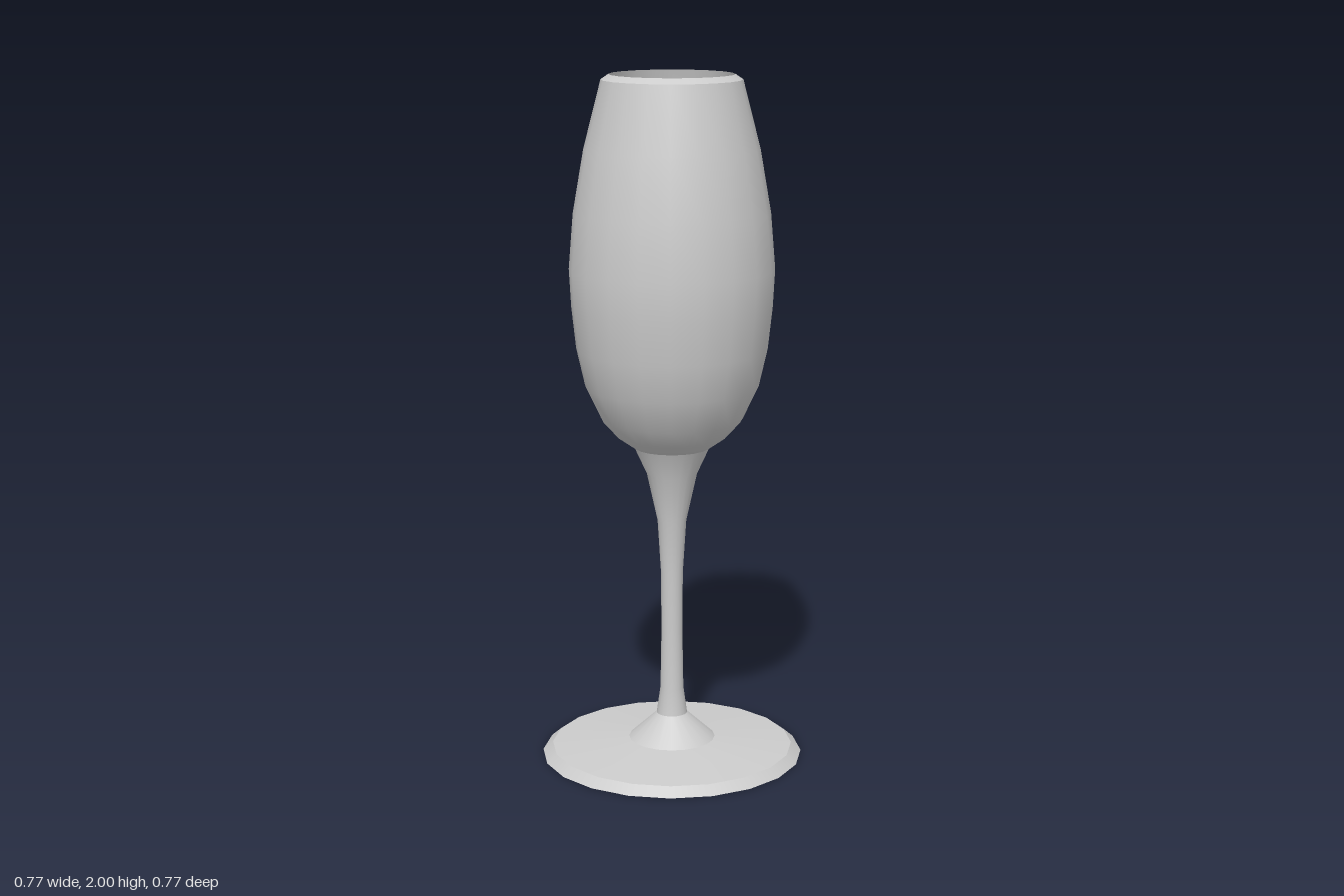
import * as THREE from 'three';

const SIDES = 20;
const material = new THREE.MeshStandardMaterial({ color: 0xcccccc, side: THREE.DoubleSide });

// Revolve a [radius, height] profile around the y axis
function turned(name, profile) {
  const points = profile.map(([r, y]) => new THREE.Vector2(r, y));
  const mesh = new THREE.Mesh(new THREE.LatheGeometry(points, SIDES), material);
  mesh.name = name;
  return mesh;
}

export function createModel() {
  const group = new THREE.Group();
  group.name = 'stemmedGlass';

  // Foot: a thin shell, hollow underneath, with a hard edge between its bands
  const foot = new THREE.Group();
  foot.name = 'foot';
  foot.add(
    turned('footEdge', [[0.384, 0], [0.355, 0.025]]),
    turned('footPlate', [[0.355, 0.025], [0.127, 0.045]]),
    turned('footCone', [[0.127, 0.045], [0.045, 0.12]])
  );
  group.add(foot);

  // Hollow stem flaring into the bowl
  group.add(turned('stem', [
    [0.045, 0.12], [0.034, 0.2], [0.031, 0.37], [0.032, 0.55],
    [0.042, 0.71], [0.073, 0.85], [0.11, 0.93]
  ]));

  // Bowl outside, bevelled rim and inside wall
  const bowl = new THREE.Group();
  bowl.name = 'bowl';
  bowl.add(
    turned('bowlOutside', [
      [0.11, 0.93], [0.16, 0.965], [0.205, 1.015], [0.25, 1.11], [0.275, 1.22],
      [0.288, 1.34], [0.294, 1.45], [0.281, 1.61], [0.25, 1.79], [0.2, 1.985]
    ]),
    turned('rim', [[0.2, 1.985], [0.178, 2]]),
    turned('bowlInside', [
      [0.178, 2], [0.235, 1.79], [0.267, 1.61], [0.28, 1.45], [0.274, 1.34],
      [0.261, 1.22], [0.235, 1.11], [0.185, 1.015]
    ])
  );

  // Flat floor inside the bowl
  const floor = new THREE.Mesh(new THREE.CircleGeometry(0.185, SIDES), material);
  floor.name = 'bowlFloor';
  floor.rotation.x = -Math.PI / 2;
  floor.position.y = 1.015;
  bowl.add(floor);
  group.add(bowl);

  return group;
}
